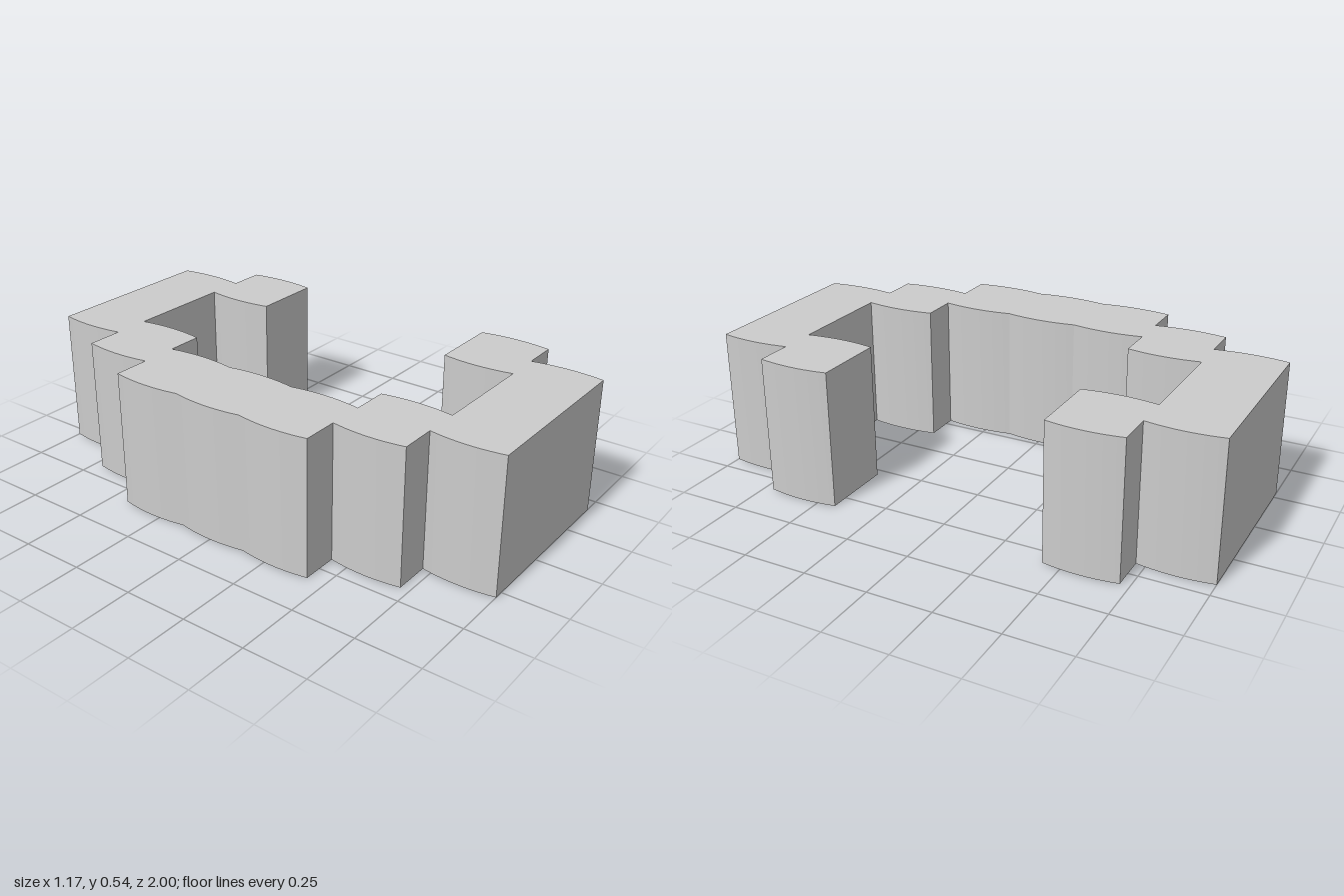
import * as THREE from 'three';
import { toCreasedNormals } from 'three/addons/utils/BufferGeometryUtils.js';

const UNIT = 1 / 7;      // half a block
const HEIGHT = 0.535;
const BULGE = 0.0145;    // outward bow of every block side

// Bowed block sides as [x, start, end], walked counter-clockwise, in half blocks
const SIDES = [
  [3, -7, -5], [4, -5, -3],                 // front arm, outer end
  [2, -3, -5], [-1, -5, -3],                // front arm, inner side
  [-2, -3, -1], [-2, -1, 1], [-2, 1, 3],    // spine, inner side
  [-1, 3, 5], [2, 5, 3],                    // back arm, inner side
  [4, 3, 5], [3, 5, 7],                     // back arm, outer end
  [-2, 7, 5], [-3, 5, 3],                   // back corner steps
  [-4, 3, 1], [-4, 1, -1], [-4, -1, -3],    // spine, outer side
  [-3, -3, -5], [-2, -5, -7],               // front corner steps
];

function blockOutline() {
  const shape = new THREE.Shape();
  SIDES.forEach(([x, a, b], i) => {
    const px = x * UNIT, y0 = a * UNIT, y1 = b * UNIT;
    if (i === 0) shape.moveTo(px, y0);
    else shape.lineTo(px, y0);
    // Sides walked upwards face +x, sides walked downwards face -x
    const control = px + 2 * BULGE * Math.sign(b - a);
    shape.quadraticCurveTo(control, (y0 + y1) / 2, px, y1);
  });
  shape.closePath();
  return shape;
}

export function createModel() {
  const group = new THREE.Group();
  group.name = 'steppedBracket';

  // Upright wall of bowed blocks with an open side towards +x
  const geometry = new THREE.ExtrudeGeometry(blockOutline(), {
    depth: HEIGHT, bevelEnabled: false, curveSegments: 10,
  });
  geometry.rotateX(-Math.PI / 2);

  const wall = new THREE.Mesh(
    toCreasedNormals(geometry, 0.3),
    new THREE.MeshStandardMaterial({ color: 0xcccccc }),
  );
  wall.name = 'steppedWall';
  group.add(wall);
  return group;
}
